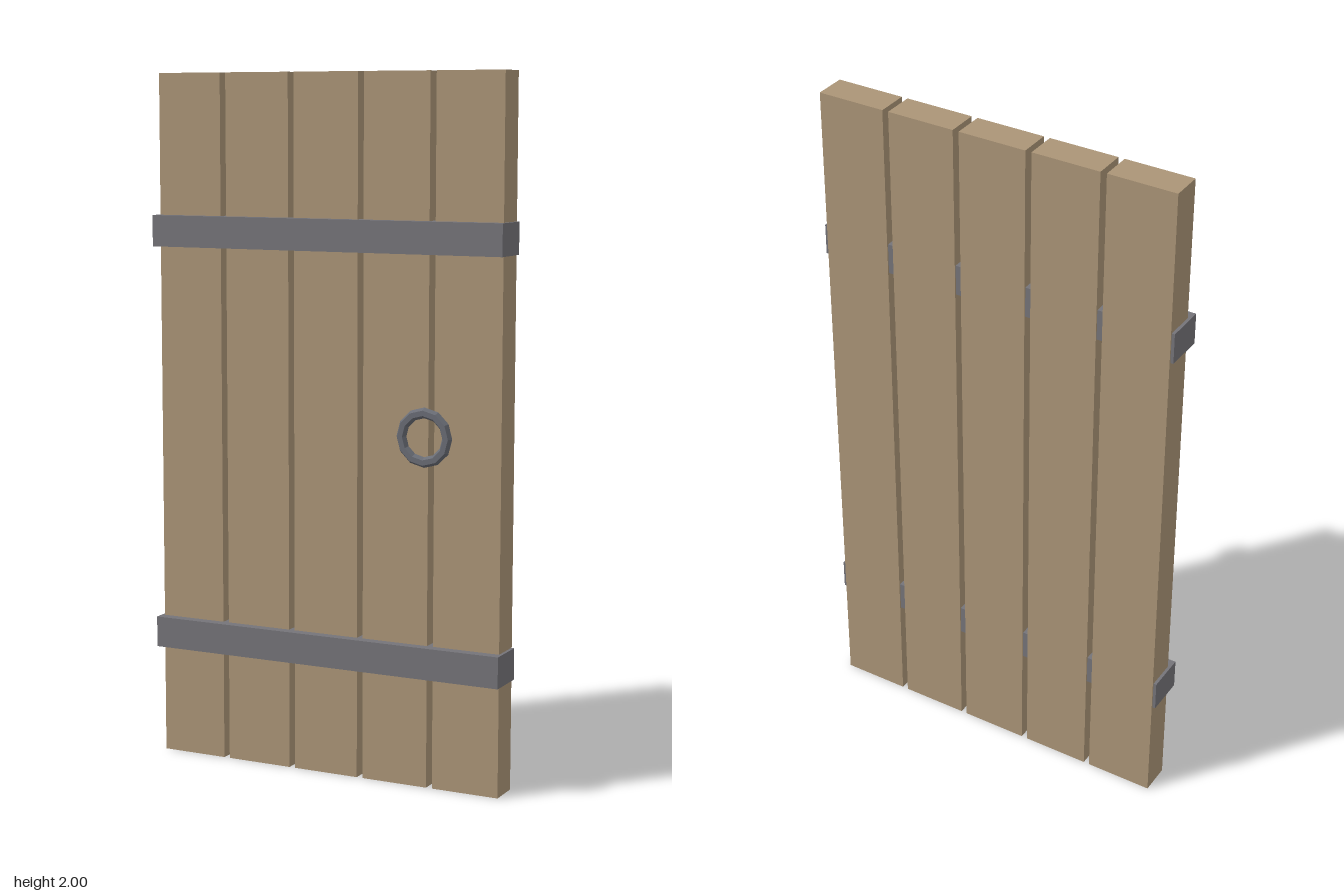
import * as THREE from 'three';

export function createModel() {
  const model = new THREE.Group();
  model.name = 'plankDoor';

  const mat = (name, color) => {
    const m = new THREE.MeshStandardMaterial({ color, flatShading: true });
    m.name = name;
    return m;
  };
  const wood = mat('wood', 0xab9577);
  const iron = mat('iron', 0x757479);
  const ringIron = mat('ringIron', 0x696c75);

  const add = (name, geometry, material, x, y, z) => {
    const mesh = new THREE.Mesh(geometry, material);
    mesh.name = name;
    mesh.position.set(x, y, z);
    model.add(mesh);
  };

  // Five upright planks with narrow gaps
  const plank = new THREE.BoxGeometry(0.2, 2, 0.092);
  for (let i = 0; i < 5; i++) {
    add(`plank${i + 1}`, plank, wood, (i - 2) * 0.218, 1, -0.02);
  }

  // Iron bands that pass through the planks, proud at front and ends
  const band = new THREE.BoxGeometry(1.09, 0.09, 0.118);
  add('lowerBand', band, iron, 0, 0.365, -0.003);
  add('upperBand', band, iron, 0, 1.55, -0.003);

  // Ring handle
  add('ringHandle', new THREE.TorusGeometry(0.069, 0.015, 6, 12), ringIron, 0.318, 1.003, 0.053);

  return model;
}
